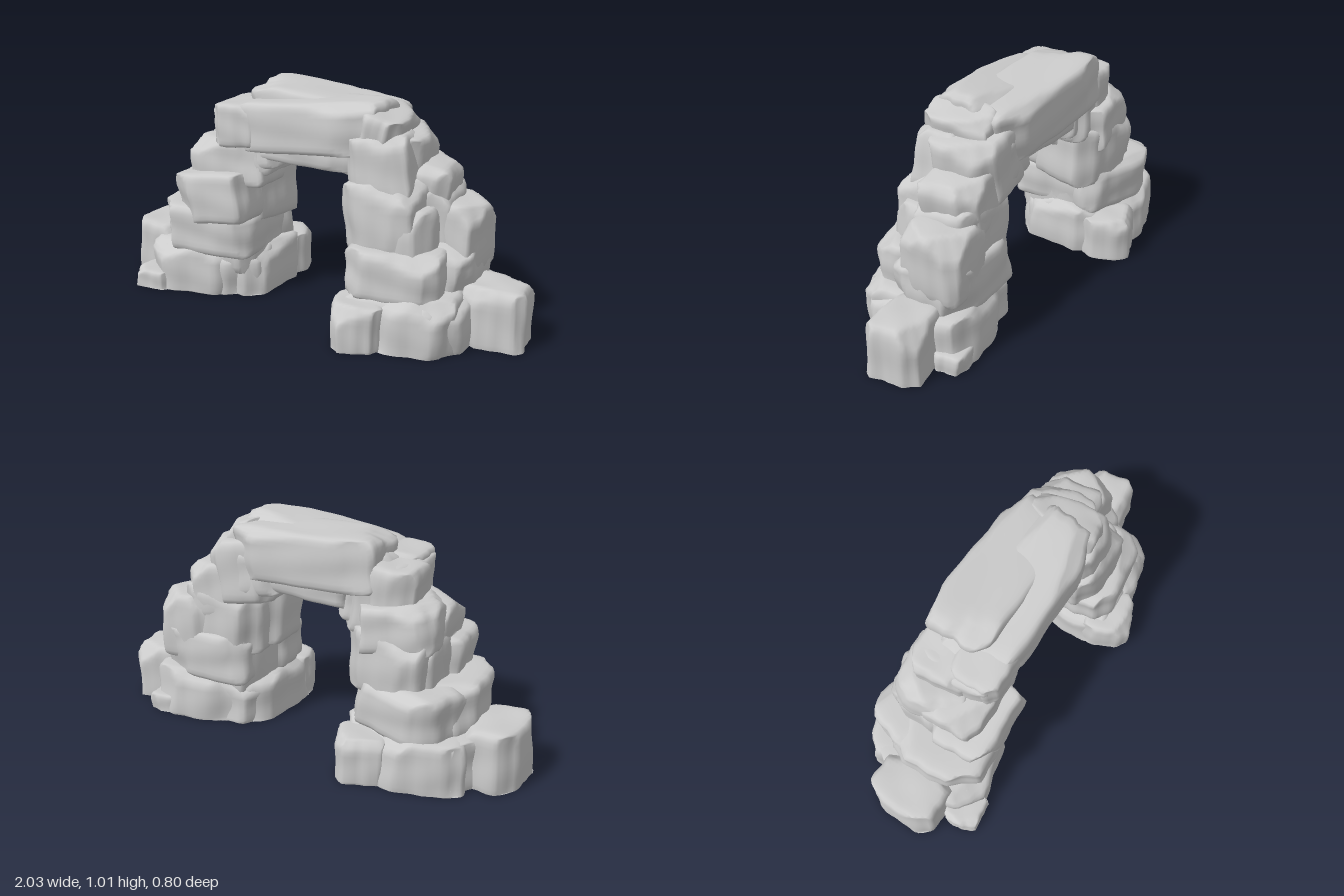
import * as THREE from 'three';
import { mergeVertices } from 'three/addons/utils/BufferGeometryUtils.js';

const material = new THREE.MeshStandardMaterial({ color: 0xcccccc, roughness: 0.95 });

// small seeded generator for chips and roughness
function seeded(seed) {
  let s = (seed * 7919 + 17) % 2147483647;
  return () => (s = (s * 16807) % 2147483647) / 2147483647;
}

// One weathered stone: a rounded block with chipped corners and soft hollows, cut flat at the ground
function stone([cx, cy, cz, w, h, d, yaw, roll], seed) {
  const rnd = seeded(seed);
  for (let i = 0; i < 5; i++) rnd();
  let geo = new THREE.BoxGeometry(2, 2, 2, 15, 11, 15);
  geo.deleteAttribute('uv');
  geo.deleteAttribute('normal');
  geo = mergeVertices(geo, 1e-4);

  // chip planes: the four upright corners and a few along the top edge
  const chips = [];
  for (let i = 0; i < 4; i++) {
    const a = (i + 0.5) * Math.PI / 2 + (rnd() - 0.5) * 0.7;
    chips.push([new THREE.Vector3(Math.cos(a), (rnd() - 0.5) * 0.2, Math.sin(a)).normalize(), 1.05 + rnd() * 0.14]);
  }
  for (let i = 0; i < 3; i++) {
    const a = rnd() * Math.PI * 2;
    chips.push([new THREE.Vector3(Math.cos(a), 0.9, Math.sin(a)).normalize(), 1.16 + rnd() * 0.12]);
  }

  const turn = new THREE.Euler(0, yaw, roll, 'ZYX');
  const centre = new THREE.Vector3(cx, cy, cz);
  const pos = geo.attributes.position;
  const v = new THREE.Vector3();
  const p = 10;
  const ph = rnd() * 6;
  for (let i = 0; i < pos.count; i++) {
    v.fromBufferAttribute(pos, i);
    v.divideScalar(Math.pow(Math.abs(v.x) ** p + Math.abs(v.y) ** p + Math.abs(v.z) ** p, 1 / p));
    for (const [n, limit] of chips) {
      const over = v.dot(n) - limit;
      if (over > 0) v.addScaledVector(n, -over);
    }
    // upright flutes on the sides, broad undulation all over
    const a = Math.atan2(v.z, v.x);
    const flute = 0.014 * Math.sin(a * 7 + ph + v.y) + 0.012 * Math.sin(a * 13 + 2 * ph);
    const wave = 0.02 * Math.sin(v.x * 4 + ph) * Math.cos(v.z * 3.5 - ph) + 0.015 * Math.sin(v.y * 5 + v.x * 2 + ph);
    v.x *= 1 + flute + wave;
    v.z *= 1 + flute + wave;
    v.y *= 1 + wave;
    v.set(v.x * w / 2, v.y * h / 2, v.z * d / 2).applyEuler(turn).add(centre);
    pos.setXYZ(i, v.x, Math.max(0, v.y), v.z);
  }
  geo.computeVertexNormals();
  return new THREE.Mesh(geo, material);
}

// stones: centre x, y, z, width, height, depth, yaw, roll
const parts = {
  leftFooting: [
    [-0.56, 0.09, 0, 0.56, 0.28, 0.5, 0.15, 0],
    [-0.43, 0.09, -0.04, 0.37, 0.28, 0.46, 0.05, 0],
    [-0.61, 0.09, 0.1, 0.46, 0.28, 0.42, 0.3, 0],
    [-0.63, 0.09, -0.15, 0.36, 0.28, 0.3, 0.4, 0],
    [-0.39, 0.07, -0.26, 0.23, 0.26, 0.23, 0.5, 0],
    [-0.85, 0.1, 0.06, 0.29, 0.33, 0.34, 0.05, -0.02],
    [-0.75, 0.02, 0.29, 0.2, 0.13, 0.17, 0.2, 0],
  ],
  leftPillar: [
    [-0.46, 0.35, 0.01, 0.34, 0.5, 0.42, 0.1, 0],
    [-0.53, 0.31, 0.06, 0.5, 0.23, 0.44, 0.15, 0],
    [-0.53, 0.31, -0.1, 0.44, 0.23, 0.34, -0.2, 0.02],
    [-0.46, 0.48, 0.13, 0.39, 0.24, 0.32, 0.15, 0.12],
    [-0.44, 0.49, -0.06, 0.38, 0.3, 0.34, -0.1, 0.04],
    [-0.42, 0.64, 0.05, 0.4, 0.22, 0.32, 0.1, 0.08],
    [-0.45, 0.65, -0.06, 0.36, 0.21, 0.32, 0.2, -0.1],
    [-0.35, 0.75, 0.0, 0.28, 0.32, 0.36, 0.15, 0.1],
    [-0.41, 0.79, -0.04, 0.22, 0.24, 0.28, 0.2, 0.12],
  ],
  rightFooting: [
    [0.54, 0.08, 0, 0.52, 0.29, 0.5, 0.15, 0],
    [0.43, 0.08, 0.04, 0.37, 0.28, 0.46, 0.05, 0],
    [0.6, 0.09, 0.09, 0.36, 0.3, 0.36, 0.3, 0],
    [0.6, 0.08, -0.15, 0.42, 0.3, 0.34, 0.25, 0],
    [0.4, 0.07, 0.26, 0.23, 0.26, 0.23, 0.5, 0],
    [0.86, 0.1, -0.12, 0.28, 0.33, 0.25, 0.25, 0.0],
    [0.7, 0.02, -0.26, 0.22, 0.13, 0.15, 0.3, 0],
  ],
  rightPillar: [
    [0.46, 0.35, -0.02, 0.34, 0.5, 0.4, 0.1, 0],
    [0.49, 0.31, 0.08, 0.43, 0.22, 0.34, 0.2, 0],
    [0.54, 0.32, -0.11, 0.46, 0.24, 0.36, 0.15, 0],
    [0.63, 0.44, -0.15, 0.29, 0.32, 0.29, 0.1, -0.06],
    [0.41, 0.53, 0.05, 0.35, 0.32, 0.3, 0.05, 0.08],
    [0.46, 0.5, -0.1, 0.38, 0.32, 0.3, 0.15, 0],
    [0.49, 0.63, -0.11, 0.28, 0.27, 0.28, 0.2, -0.15],
    [0.375, 0.74, 0.03, 0.3, 0.28, 0.28, 0.1, 0.18],
    [0.36, 0.75, -0.08, 0.32, 0.3, 0.32, 0.15, -0.15],
    [0.36, 0.87, -0.02, 0.18, 0.2, 0.32, 0.15, -0.25],
  ],
  span: [
    [0.0, 0.865, 0.03, 0.76, 0.23, 0.33, 0.03, 0.11],
    [0.0, 0.875, -0.08, 0.72, 0.24, 0.32, 0.05, -0.07],
    [0.0, 0.77, -0.02, 0.6, 0.17, 0.34, 0.04, 0],
    [-0.33, 0.83, 0.09, 0.26, 0.2, 0.25, 0.1, 0.08],
    [0.27, 0.76, -0.08, 0.26, 0.22, 0.3, 0.1, -0.2],
    [-0.27, 0.72, 0, 0.2, 0.2, 0.32, 0.1, 0.25],
  ],
};

export function createModel() {
  const arch = new THREE.Group();
  arch.name = 'rockArch';
  let seed = 1;
  for (const [name, stones] of Object.entries(parts)) {
    const group = new THREE.Group();
    group.name = name;
    stones.forEach((s, i) => {
      const mesh = stone(s, seed++);
      mesh.name = `${name}Stone${i + 1}`;
      group.add(mesh);
    });
    arch.add(group);
  }
  return arch;
}
